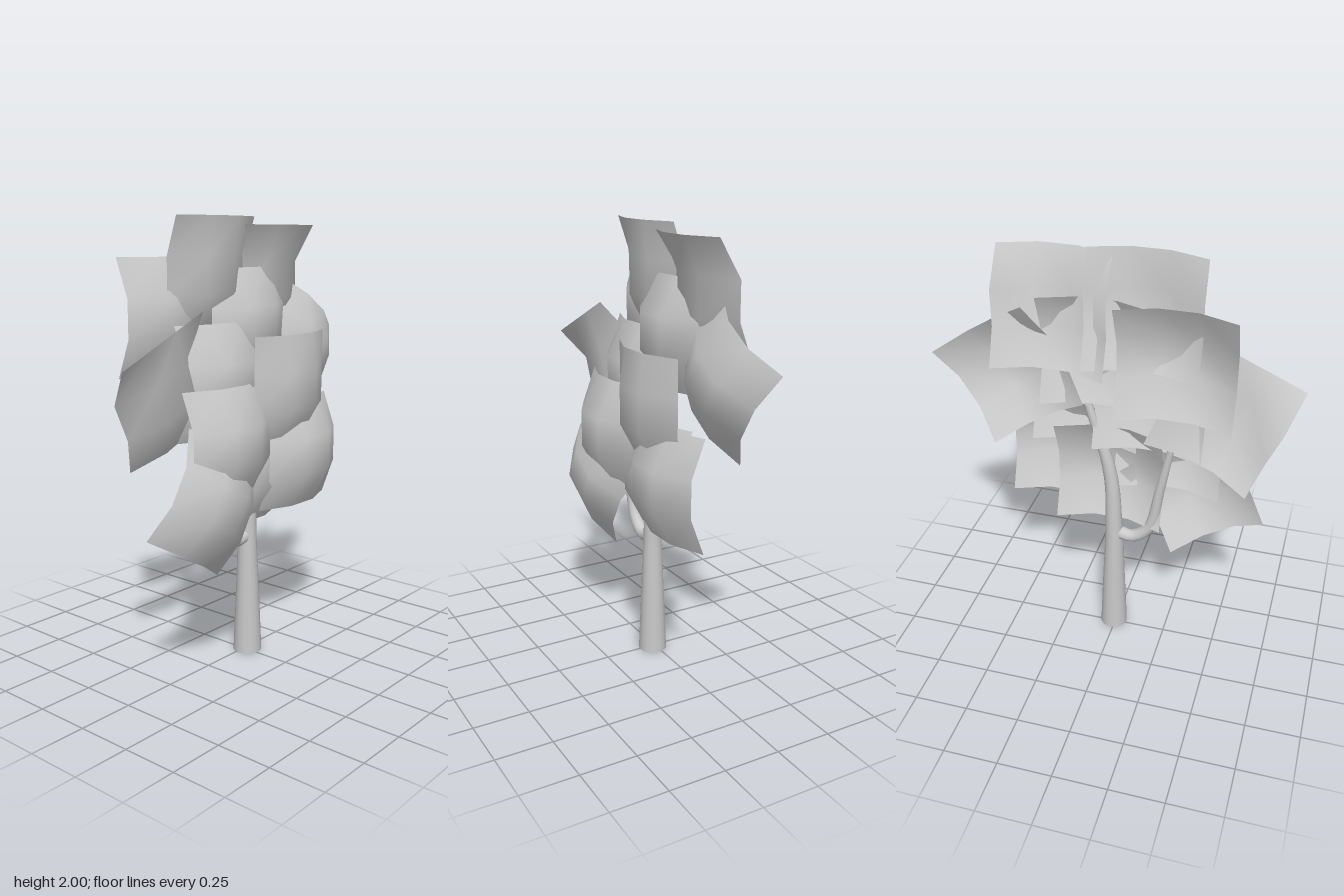
import * as THREE from 'three';

const material = new THREE.MeshStandardMaterial({ color: 0xcccccc, side: THREE.DoubleSide });

// Curved square leaf card facing +x: shallow bowl on a 3 x 3 grid.
// x is the depth of the corners; topCorner / topMid optionally bend the top row forward.
function leafCard({ z, y, x, turn = 0, topCorner, topMid }) {
  const geo = new THREE.PlaneGeometry(0.5, 0.5, 3, 3);
  const pos = geo.attributes.position;
  for (let i = 0; i < pos.count; i++) {
    const sideEdge = Math.abs(pos.getX(i)) > 0.2;
    const endEdge = Math.abs(pos.getY(i)) > 0.2;
    let depth = x + (sideEdge && endEdge ? 0 : sideEdge || endEdge ? 0.063 : 0.153);
    if (topCorner !== undefined && pos.getY(i) > 0.2) depth = sideEdge ? topCorner : topMid;
    pos.setZ(i, depth);
  }
  geo.rotateZ(THREE.MathUtils.degToRad(turn));
  geo.rotateY(Math.PI / 2);
  geo.translate(0, y, z);
  geo.computeVertexNormals();
  const mesh = new THREE.Mesh(geo, material);
  mesh.name = 'leafCard';
  return mesh;
}

// Tube along a curve whose radius follows a list of evenly spaced values
function taperedTube(name, points, radii, segments, sides) {
  const curve = new THREE.CatmullRomCurve3(points.map((p) => new THREE.Vector3(...p)));
  const geo = new THREE.TubeGeometry(curve, segments, 1, sides, false);
  const pos = geo.attributes.position;
  const v = new THREE.Vector3();
  for (let i = 0; i <= segments; i++) {
    const t = i / segments;
    const centre = curve.getPointAt(t);
    const f = t * (radii.length - 1);
    const k = Math.min(Math.floor(f), radii.length - 2);
    const r = THREE.MathUtils.lerp(radii[k], radii[k + 1], f - k);
    for (let j = 0; j <= sides; j++) {
      const n = i * (sides + 1) + j;
      v.fromBufferAttribute(pos, n).sub(centre).multiplyScalar(r).add(centre);
      pos.setXYZ(n, v.x, v.y, v.z);
    }
  }
  geo.computeBoundingSphere();
  const mesh = new THREE.Mesh(geo, material);
  mesh.name = name;
  return mesh;
}

export function createModel() {
  const tree = new THREE.Group();
  tree.name = 'tree';

  // Trunk, leaning slightly back at its top
  tree.add(taperedTube('trunk',
    [[0.015, 0, -0.01], [0.015, 0.3, -0.01], [0.015, 0.6, -0.01], [0.02, 0.9, -0.03], [0.02, 1.25, -0.13]],
    [0.066, 0.053, 0.04, 0.03, 0.018], 24, 14));

  // Side branch hooking out of the trunk
  tree.add(taperedTube('branch',
    [[0.015, 0.57, 0], [0.015, 0.555, 0.08], [0.015, 0.62, 0.16], [0.015, 0.85, 0.21], [0.015, 1.1, 0.26]],
    [0.033, 0.029, 0.025, 0.02, 0.015], 22, 10));

  // Foliage: overlapping cards from the outermost layer inward
  const foliage = new THREE.Group();
  foliage.name = 'foliage';
  const cards = [
    // near layer
    { z: -0.17, y: 1.24, x: 0.065, topCorner: 0.13, topMid: 0.195 },
    { z: -0.28, y: 0.93, x: 0.065 },
    { z: 0.22, y: 1.04, x: 0.065 },
    { z: 0.345, y: 0.795, x: 0.065, turn: -31 },
    // middle layer
    { z: 0.15, y: 1.3, x: -0.04 },
    { z: -0.03, y: 0.885, x: -0.03 },
    { z: -0.07, y: 1.53, x: -0.09 },
    { z: 0.485, y: 1.285, x: -0.1, turn: 24, topCorner: 0.085, topMid: 0.085 },
    { z: -0.46, y: 1.39, x: -0.1, turn: -32 },
    // far layer
    { z: 0.14, y: 1.75, x: -0.15, topCorner: -0.03, topMid: 0.025 },
    { z: -0.26, y: 1.715, x: -0.165, topCorner: 0, topMid: 0.06 },
    { z: 0.3, y: 1.58, x: -0.22 },
  ];
  for (const card of cards) foliage.add(leafCard(card));
  tree.add(foliage);

  return tree;
}
